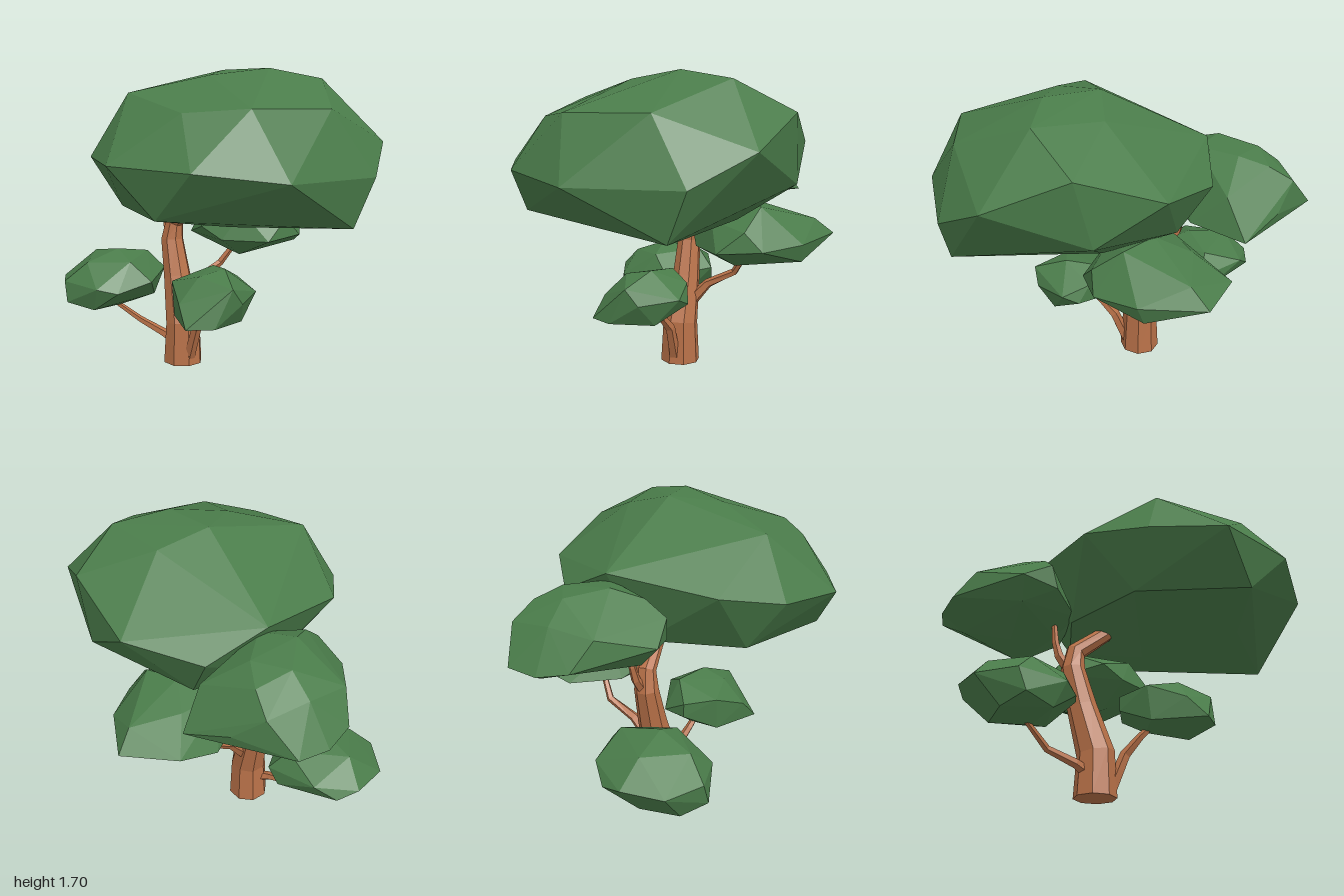
import * as THREE from 'three';
import { ConvexGeometry } from 'three/addons/geometries/ConvexGeometry.js';

const leafGreen = new THREE.MeshStandardMaterial({ color: 0x4a7c4a });
leafGreen.name = 'leafGreen';
const bark = new THREE.MeshStandardMaterial({ color: 0xb87148 });
bark.name = 'bark';

// Faceted foliage clump: hull around a few corner points [x, y, z]
function clump(name, corners) {
  const mesh = new THREE.Mesh(new ConvexGeometry(corners.map(c => new THREE.Vector3(...c))), leafGreen);
  mesh.name = name;
  return mesh;
}

// Tapered faceted limb through stations [x, y, z, radius]
function limb(name, stations, sides) {
  const pts = stations.map(s => new THREE.Vector3(s[0], s[1], s[2]));
  const pos = [], index = [], last = pts.length - 1;
  const ref = new THREE.Vector3(1, 0, 0);
  pts.forEach((p, k) => {
    const d = new THREE.Vector3();
    if (k > 0) d.add(p.clone().sub(pts[k - 1]).normalize());
    if (k < last) d.add(pts[k + 1].clone().sub(p).normalize());
    d.normalize();
    const u = ref.clone().cross(d).normalize(), v = d.clone().cross(u);
    for (let i = 0; i < sides; i++) {
      const a = (i + 0.5) / sides * Math.PI * 2, r = stations[k][3];
      const q = p.clone().addScaledVector(u, Math.cos(a) * r).addScaledVector(v, Math.sin(a) * r);
      pos.push(q.x, q.y, q.z);
    }
  });
  for (let k = 0; k < last; k++) {
    for (let i = 0; i < sides; i++) {
      const a = k * sides + i, b = k * sides + (i + 1) % sides;
      index.push(a, b, b + sides, a, b + sides, a + sides);
    }
  }
  // End caps
  for (let i = 1; i < sides - 1; i++) {
    const t = last * sides;
    index.push(0, i + 1, i, t, t + i, t + i + 1);
  }
  const indexed = new THREE.BufferGeometry();
  indexed.setAttribute('position', new THREE.Float32BufferAttribute(pos, 3));
  indexed.setIndex(index);
  const geo = indexed.toNonIndexed();
  geo.computeVertexNormals();
  const mesh = new THREE.Mesh(geo, bark);
  mesh.name = name;
  return mesh;
}

export function createModel() {
  const tree = new THREE.Group();
  tree.name = 'tree';

  // Trunk, leaning back and then bending forward into the canopy
  tree.add(limb('trunk', [
    [-0.032, 0, -0.145, 0.116], [-0.03, 0.24, -0.145, 0.103], [-0.01, 0.5, -0.22, 0.082],
    [-0.003, 0.72, -0.275, 0.068], [0.005, 0.83, -0.26, 0.055], [0.02, 0.98, -0.08, 0.045],
  ], 8));

  // Branches, one to each smaller clump
  tree.add(limb('leftBranch', [
    [0, 0.33, -0.18, 0.045], [0.13, 0.47, -0.18, 0.028], [0.29, 0.55, -0.17, 0.022], [0.38, 0.7, -0.1, 0.016],
  ], 5));
  tree.add(limb('frontBranch', [
    [-0.05, 0.04, -0.07, 0.035], [-0.06, 0.24, 0.01, 0.03], [-0.1, 0.33, 0.08, 0.022], [-0.14, 0.44, 0.18, 0.016],
  ], 5));
  tree.add(limb('lowBackBranch', [
    [-0.05, 0.12, -0.18, 0.035], [-0.09, 0.16, -0.27, 0.026], [-0.13, 0.21, -0.43, 0.02], [-0.24, 0.33, -0.58, 0.014],
  ], 5));
  tree.add(limb('highBackBranch', [
    [0, 0.68, -0.27, 0.035], [0.02, 0.8, -0.35, 0.026], [0.03, 0.88, -0.37, 0.02], [0.08, 1.06, -0.375, 0.015],
  ], 5));

  // Main canopy: underside, rim, then crown
  tree.add(clump('mainCanopy', [
    [0.14, 0.91, 0.95], [-0.33, 0.925, 0.58], [-0.72, 0.98, 0.48], [0.15, 0.89, 0.47],
    [0.1, 0.9, 0.17], [0.35, 0.92, 0.2], [0.39, 1.0, -0.2], [-0.5, 0.98, -0.08], [0.0, 1.01, -0.29],
    [0.67, 1.13, 0.33],
    [0.24, 1.16, 1.0], [0.53, 1.32, 0.83], [-0.09, 1.25, 0.95], [-0.35, 1.16, 0.98], [-0.7, 1.21, 0.71],
    [-0.86, 1.23, 0.3], [-0.7, 1.25, -0.07], [-0.44, 1.32, -0.34], [0.12, 1.41, -0.46], [0.43, 1.26, -0.37],
    [0.69, 1.33, -0.03], [0.67, 1.49, 0.42],
    [0.05, 1.49, 0.87], [-0.4, 1.49, 0.78], [-0.59, 1.47, 0.52], [-0.54, 1.57, 0.04], [-0.2, 1.66, 0.28],
    [0.37, 1.65, 0.54], [0.33, 1.63, 0.17], [0.09, 1.7, 0.42], [0.05, 1.7, 0.11],
  ]));

  // High clump at the back
  tree.add(clump('backCanopy', [
    [0.19, 1.05, -1.0], [0.03, 1.08, -0.96], [0.36, 1.06, -0.98], [0.53, 1.1, -0.7], [0.64, 1.02, -0.47],
    [0.25, 0.98, -0.87], [0.2, 0.95, -0.6], [0.15, 0.98, -0.35], [-0.15, 1.02, -0.6], [-0.25, 1.13, -0.62],
    [-0.2, 1.1, -0.42], [0.0, 1.05, -0.27], [0.4, 1.05, -0.27], [0.1, 1.2, -0.29], [-0.04, 1.22, -0.85],
    [0.2, 1.25, -0.86], [0.43, 1.23, -0.83], [0.2, 1.35, -0.73], [0.03, 1.38, -0.57], [0.31, 1.355, -0.56],
    [0.39, 1.31, -0.7], [0.13, 1.36, -0.4], [0.5, 1.22, -0.42], [-0.11, 1.32, -0.48], [-0.22, 1.23, -0.46],
  ]));

  // Clump on the model's left
  tree.add(clump('leftClump', [
    [0.855, 0.8, -0.2], [0.75, 0.89, -0.14], [0.69, 0.68, 0.08], [0.7, 0.78, 0.12], [0.63, 0.8, -0.42],
    [0.4, 0.73, -0.42], [0.31, 0.62, -0.02], [0.45, 0.63, -0.18], [0.1, 0.74, 0.05], [0.06, 0.81, -0.08],
    [0.15, 0.75, -0.28], [0.25, 0.74, 0.28], [0.5, 0.76, 0.29], [0.4, 0.86, 0.27], [0.2, 0.9, 0.12],
    [0.47, 0.98, 0.12], [0.4, 1.0, -0.07], [0.5, 0.93, -0.25], [0.22, 0.92, -0.23],
  ]));

  // Low clump at the back
  tree.add(clump('lowBackClump', [
    [-0.18, 0.48, -0.9], [-0.06, 0.45, -0.86], [-0.4, 0.46, -0.85], [-0.52, 0.47, -0.66], [-0.53, 0.35, -0.62],
    [-0.42, 0.3, -0.72], [-0.44, 0.315, -0.47], [-0.2, 0.29, -0.74], [-0.2, 0.3, -0.53], [-0.46, 0.45, -0.41],
    [-0.36, 0.42, -0.34], [-0.15, 0.47, -0.29], [-0.03, 0.36, -0.42], [0.09, 0.42, -0.55], [0.1, 0.5, -0.48],
    [0.03, 0.53, -0.77], [-0.41, 0.58, -0.58], [-0.22, 0.65, -0.53], [-0.22, 0.61, -0.77], [0.01, 0.61, -0.54],
    [-0.24, 0.59, -0.38],
  ]));

  // Small clump at the front
  tree.add(clump('frontClump', [
    [-0.42, 0.37, 0.34], [-0.38, 0.48, 0.24], [-0.3, 0.37, 0.43], [-0.13, 0.48, 0.46], [-0.2, 0.57, 0.46],
    [-0.06, 0.36, 0.38], [-0.1, 0.36, 0.11], [-0.28, 0.37, 0.08], [0.1, 0.46, 0.27], [0.08, 0.56, 0.2],
    [0.03, 0.45, 0.02], [-0.12, 0.54, -0.04], [-0.12, 0.46, -0.04], [-0.28, 0.56, 0.06], [-0.25, 0.61, 0.25],
    [-0.02, 0.62, 0.11], [-0.1, 0.64, 0.29], [0.07, 0.5, 0.36],
  ]));

  return tree;
}
